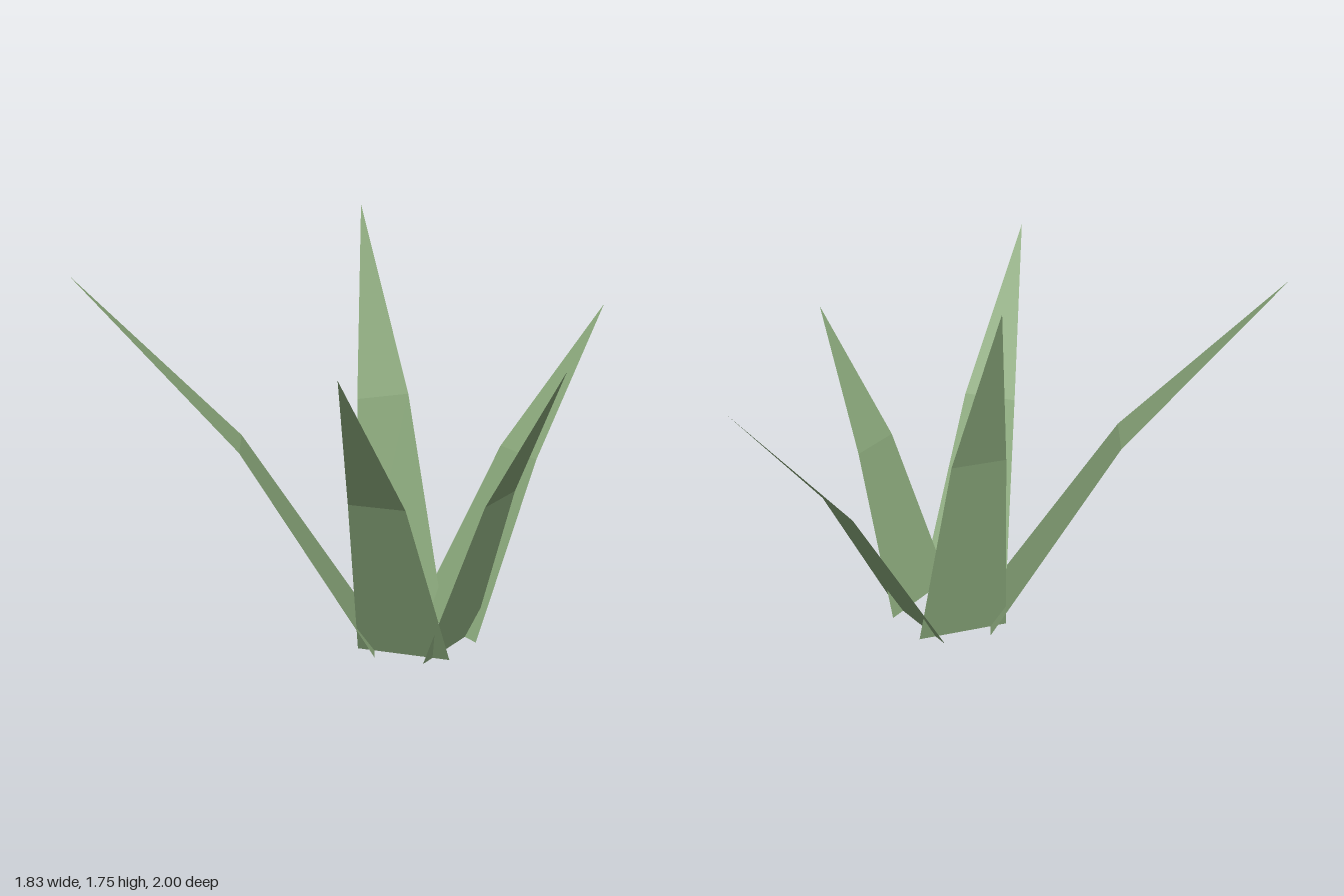
import * as THREE from 'three';

const CENTRE_X = 0.215, BASE_RADIUS = 0.175;
const BASE_HALF = 0.2, MID_HALF = 0.117;

// One flat blade leaning out along +x: a tapering lower quad and a pointed tip, creased between
function bladeGeometry(reach, height) {
  const mx = reach * 0.45, my = height * 0.55;
  const b0 = [0, 0, -BASE_HALF], b1 = [0, 0, BASE_HALF];
  const m0 = [mx, my, -MID_HALF], m1 = [mx, my, MID_HALF];
  const tip = [reach, height, 0];
  const geometry = new THREE.BufferGeometry();
  const corners = [b0, b1, m1, b0, m1, m0, m0, m1, tip].flat();
  geometry.setAttribute('position', new THREE.Float32BufferAttribute(corners, 3));
  geometry.computeVertexNormals();
  return geometry;
}

export function createModel() {
  const plant = new THREE.Group();
  plant.name = 'spikyPlant';
  const green = new THREE.MeshStandardMaterial({ color: 0x8aa87b, side: THREE.DoubleSide });
  green.name = 'leafGreen';

  // Reach and height of each leaf, going round the ring
  const leaves = [[0.523, 1.31], [0.876, 1.457], [1.225, 1.604], [0.523, 1.75], [0.876, 1.31]];
  leaves.forEach(([reach, height], i) => {
    const angle = (i / leaves.length) * Math.PI * 2;
    const leaf = new THREE.Mesh(bladeGeometry(reach, height), green);
    leaf.name = `leaf${i + 1}`;
    leaf.position.set(CENTRE_X + BASE_RADIUS * Math.cos(angle), 0, BASE_RADIUS * Math.sin(angle));
    leaf.rotation.y = -angle;
    plant.add(leaf);
  });
  return plant;
}
